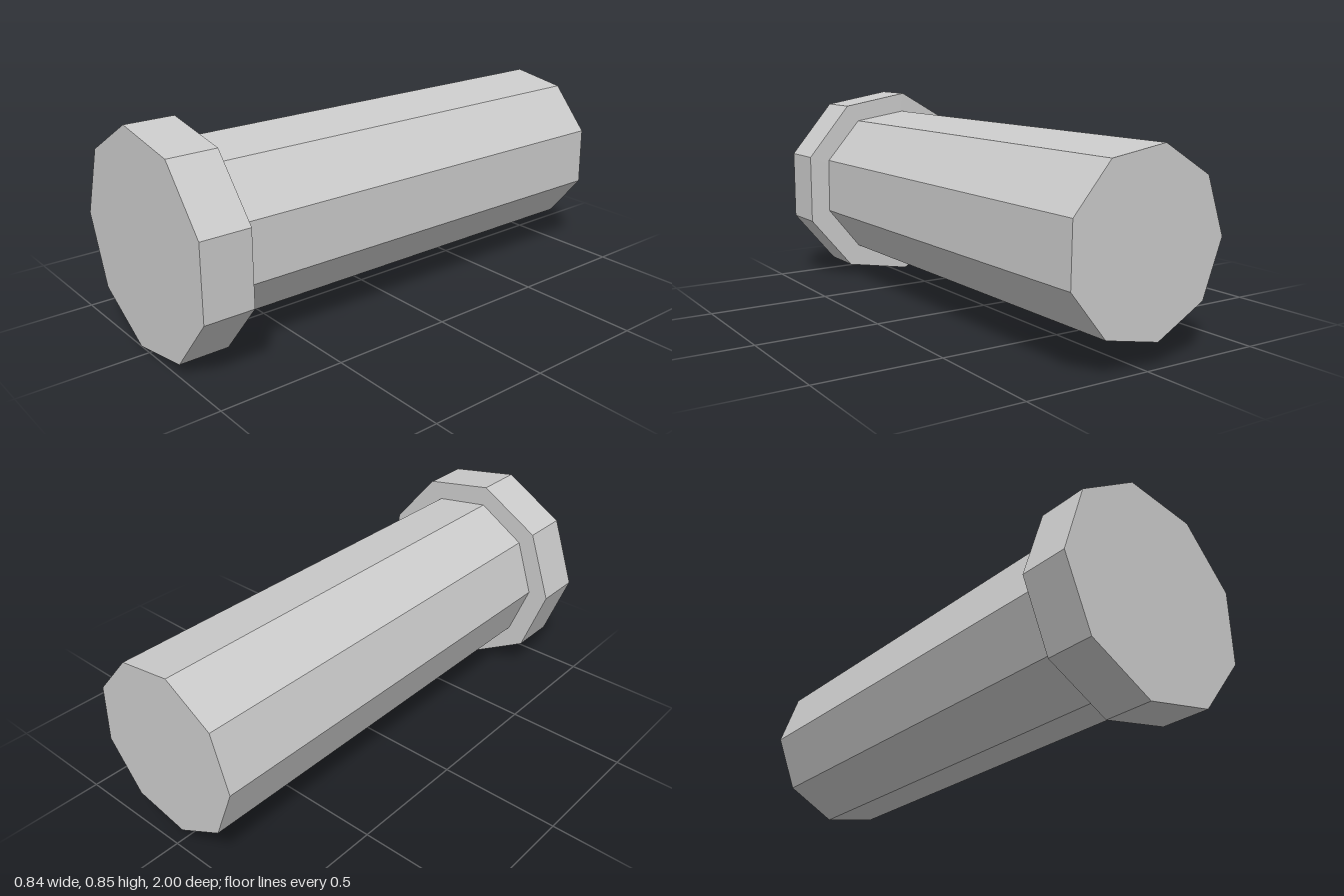
import * as THREE from 'three';

const SIDES = 9;
const material = new THREE.MeshStandardMaterial({ color: 0xcccccc, flatShading: true });

// Nine-sided prism along z; the first corner sits at `degrees` counted from +x.
function prism(name, radius, zBack, zFront, x, y, degrees) {
  const start = THREE.MathUtils.degToRad(degrees + 90);
  const geometry = new THREE.CylinderGeometry(radius, radius, zFront - zBack, SIDES, 1, false, start);
  geometry.rotateX(Math.PI / 2);
  const mesh = new THREE.Mesh(geometry, material);
  mesh.name = name;
  mesh.position.set(x, y, (zBack + zFront) / 2);
  return mesh;
}

export function createModel() {
  const model = new THREE.Group();
  model.name = 'bolt';
  // Wide, flat head at the front
  model.add(prism('head', 0.433, 0.802, 1, 0.013, 0.427, 180));
  // Long shaft behind it, turned slightly and set a touch higher
  model.add(prism('shaft', 0.342, -1, 0.802, 0.01, 0.433, 181));
  return model;
}
